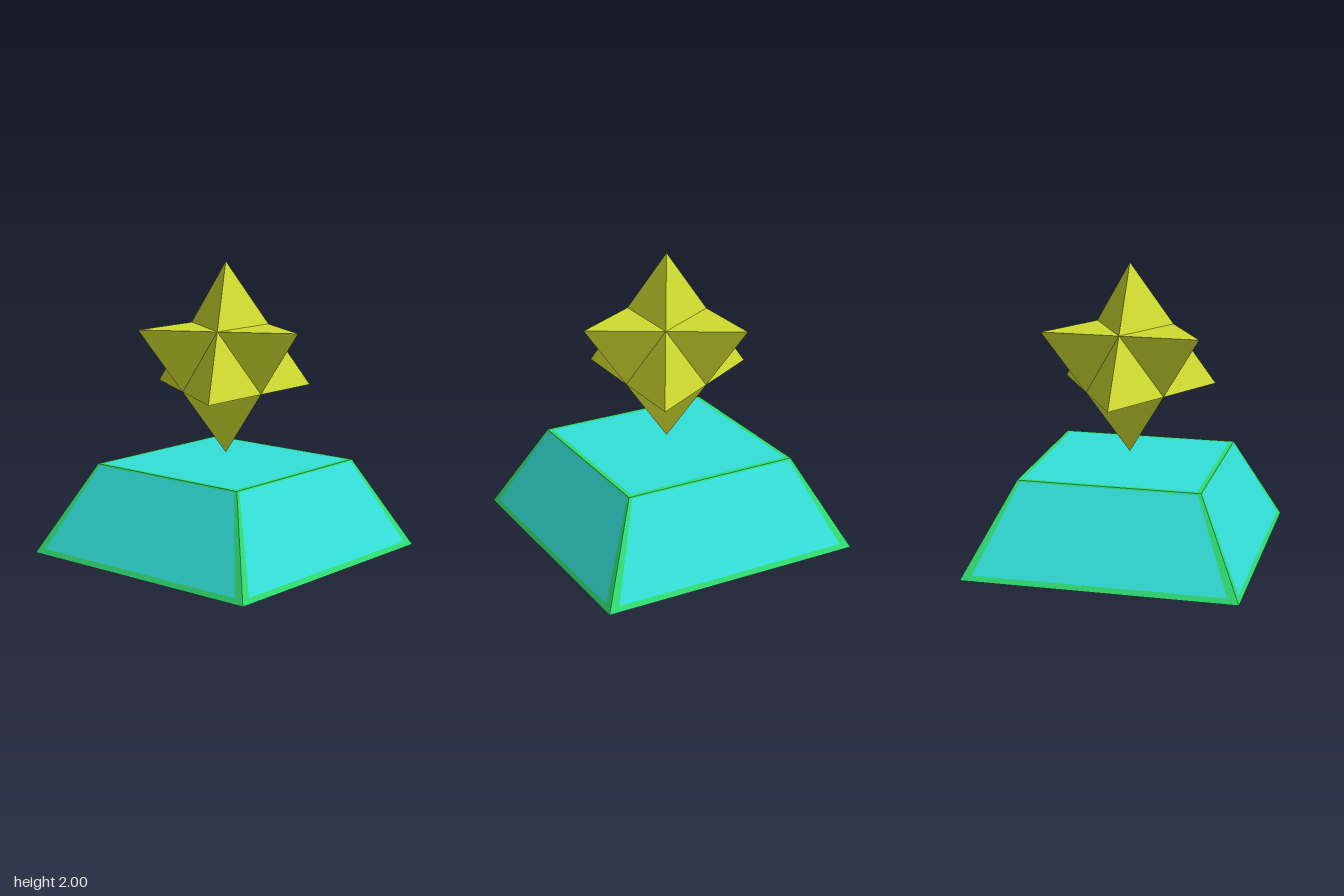
import * as THREE from 'three';

const BOTTOM = 0.93, TOP = 0.62, HEIGHT = 0.62;

const cyan = new THREE.MeshStandardMaterial({ color: 0x33e0da });
cyan.name = 'cyan';
const green = new THREE.MeshStandardMaterial({ color: 0x2fdc72 });
green.name = 'green';
const yellow = new THREE.MeshStandardMaterial({ color: 0xcfdc2f });
yellow.name = 'yellow';

// Flat-shaded geometry from quads whose corners run counter-clockwise
function quads(list) {
  const points = list.flatMap(([a, b, c, d]) => [a, b, c, a, c, d]);
  const geometry = new THREE.BufferGeometry().setFromPoints(points);
  geometry.computeVertexNormals();
  return geometry;
}

// A panel and the border around it, lying in one plane
function borderedFace(name, outer, inner) {
  const face = new THREE.Group();
  face.name = name;
  const panel = new THREE.Mesh(quads([inner]), cyan);
  panel.name = name + 'Panel';
  const ring = outer.map((p, i) => [p, outer[(i + 1) % 4], inner[(i + 1) % 4], inner[i]]);
  const border = new THREE.Mesh(quads(ring), green);
  border.name = name + 'Border';
  face.add(panel, border);
  return face;
}

// Corners of a sloping front side between two heights
function slope(y0, w0, y1, w1) {
  const z = (y) => BOTTOM + (TOP - BOTTOM) * y / HEIGHT;
  return [[-w0, y0], [w0, y0], [w1, y1], [-w1, y1]].map(([x, y]) => new THREE.Vector3(x, y, z(y)));
}

// Corners of a level rectangle facing up (or down)
function level(y, w, up) {
  const s = up ? 1 : -1;
  return [[-w, s * w], [w, s * w], [w, -s * w], [-w, -s * w]].map(([x, z]) => new THREE.Vector3(x, y, z));
}

export function createModel() {
  const model = new THREE.Group();
  model.name = 'starOnPedestal';

  // Pedestal: four sloping sides, top and underside
  const pedestal = new THREE.Group();
  pedestal.name = 'pedestal';
  ['front', 'left', 'back', 'right'].forEach((name, i) => {
    const side = borderedFace(name + 'Side', slope(0, BOTTOM, HEIGHT, TOP), slope(0.035, 0.85, 0.61, 0.6));
    side.rotation.y = i * Math.PI / 2;
    pedestal.add(side);
  });
  pedestal.add(
    borderedFace('top', level(HEIGHT, TOP, true), level(HEIGHT, 0.59, true)),
    borderedFace('underside', level(0, BOTTOM, false), level(0, 0.905, false))
  );
  model.add(pedestal);

  // Floating star: two interlocking tetrahedra, one upside down
  const tetra = new THREE.ConeGeometry(0.62, 0.877, 3).toNonIndexed();
  tetra.rotateY(Math.PI);
  tetra.computeVertexNormals();
  const star = new THREE.Group();
  star.name = 'star';
  const upper = new THREE.Mesh(tetra, yellow);
  upper.name = 'upwardTetrahedron';
  upper.position.y = 1.5615;
  const lower = new THREE.Mesh(tetra, yellow);
  lower.name = 'downwardTetrahedron';
  lower.position.y = 1.1225;
  lower.rotation.x = Math.PI;
  star.add(upper, lower);
  model.add(star);

  return model;
}
